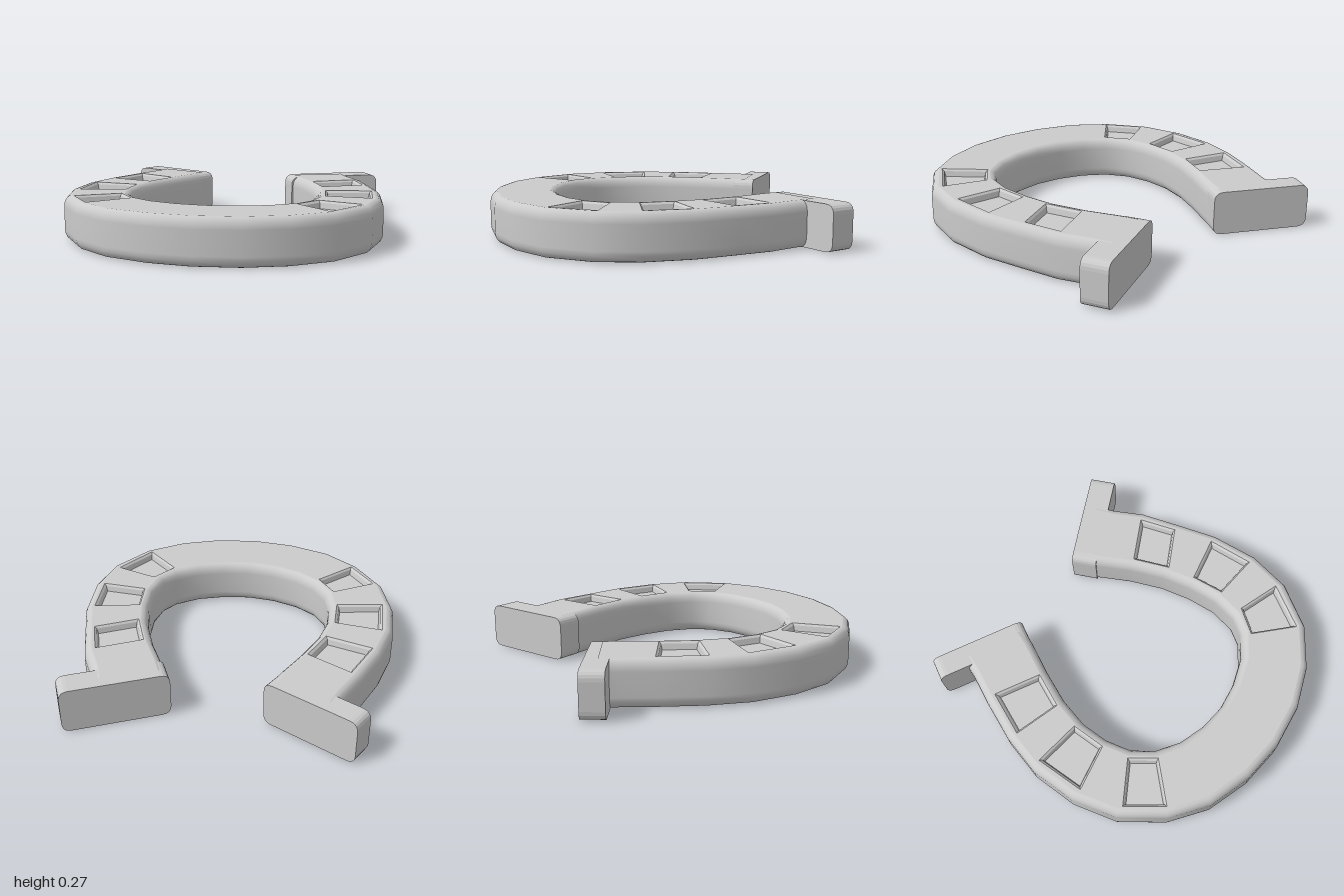
import * as THREE from 'three';

const TOP = 0.27;
const material = new THREE.MeshStandardMaterial({ color: 0xcccccc });

// Stations along the shoe: [inner x, inner z, outer x, outer z]
const stations = [
  [-0.31, -0.67, -0.68, -0.85], [-0.34, -0.59, -0.715, -0.75],
  [-0.435, -0.4, -0.8, -0.57], [-0.52, -0.2, -0.9, -0.33],
  [-0.565, -0.015, -0.965, -0.08], [-0.565, 0.15, -0.965, 0.2], [-0.53, 0.3, -0.895, 0.47],
  [-0.45, 0.42, -0.725, 0.71], [-0.32, 0.51, -0.515, 0.87], [-0.165, 0.565, -0.255, 0.96],
  [0, 0.585, 0.005, 0.99],
  [0.165, 0.565, 0.275, 0.96], [0.33, 0.51, 0.52, 0.87], [0.46, 0.42, 0.74, 0.715],
  [0.525, 0.32, 0.905, 0.46], [0.555, 0.16, 0.955, 0.2], [0.54, -0.02, 0.93, -0.09],
  [0.5, -0.2, 0.86, -0.33], [0.42, -0.4, 0.79, -0.56],
  [0.32, -0.59, 0.7, -0.73], [0.28, -0.68, 0.66, -0.84],
];

// Pocket corners, clockwise from above: x, z
const pockets = [
  [[-0.74, -0.55], [-0.485, -0.41], [-0.575, -0.205], [-0.85, -0.29]],
  [[-0.9, -0.085], [-0.615, -0.045], [-0.615, 0.165], [-0.895, 0.215]],
  [[-0.83, 0.47], [-0.585, 0.325], [-0.48, 0.47], [-0.68, 0.675]],
  [[0.475, -0.41], [0.73, -0.54], [0.8, -0.32], [0.56, -0.195]],
  [[0.595, -0.03], [0.87, -0.085], [0.89, 0.195], [0.615, 0.17]],
  [[0.595, 0.33], [0.85, 0.42], [0.695, 0.675], [0.49, 0.475]],
];

const INSET = 0.045, ROUND = 0.065;

// Point a distance d in from the inner (side 0) or outer (side 1) edge
function edgePoint([ix, iz, ox, oz], side, d) {
  const len = Math.hypot(ox - ix, oz - iz);
  const t = side ? 1 - d / len : d / len;
  return [ix + (ox - ix) * t, iz + (oz - iz) * t];
}

// Rounded profile from the inner top edge, under the shoe, to the outer top edge
function makeProfile() {
  const half = [];
  const n = 4;
  for (let k = 0; k <= n; k++) {
    const a = (k / n) * Math.PI / 2;
    half.push([INSET * (1 - Math.sin(a)), TOP - ROUND * (1 - Math.cos(a))]);
  }
  for (let k = 0; k <= n; k++) {
    const a = (k / n) * Math.PI / 2;
    half.push([INSET * (1 - Math.cos(a)), ROUND * (1 - Math.sin(a))]);
  }
  return [...half.map(p => [0, ...p]), ...half.slice().reverse().map(p => [1, ...p])];
}

function bodyGeometry() {
  const profile = makeProfile(), n = profile.length;
  const positions = [], index = [];
  stations.forEach((s, i) => {
    for (const [side, d, y] of profile) {
      const [x, z] = edgePoint(s, side, d);
      positions.push(x, y, z);
    }
    if (i === stations.length - 1) return;
    for (let j = 0; j < n - 1; j++) {
      const a = i * n + j, b = a + n;
      index.push(a, b, a + 1, b, b + 1, a + 1);
    }
  });
  const g = new THREE.BufferGeometry();
  g.setAttribute('position', new THREE.Float32BufferAttribute(positions, 3));
  g.setIndex(index);
  g.computeVertexNormals();
  return g;
}

// Flat top with an opening for each pocket
function topGeometry() {
  const flat = ([x, z]) => new THREE.Vector2(x, -z);
  const inner = stations.map(s => flat(edgePoint(s, 0, INSET)));
  const outer = stations.map(s => flat(edgePoint(s, 1, INSET)));
  const shape = new THREE.Shape([...inner, ...outer.reverse()]);
  for (const p of pockets) shape.holes.push(new THREE.Path(p.map(flat)));
  return new THREE.ShapeGeometry(shape).rotateX(-Math.PI / 2).translate(0, TOP, 0);
}

// Recess: narrow sloped lip, steep wall, flat floor
function pocketGeometry(corners) {
  const cx = corners.reduce((s, p) => s + p[0], 0) / 4;
  const cz = corners.reduce((s, p) => s + p[1], 0) / 4;
  const rings = [[1, TOP], [0.91, TOP - 0.012], [0.85, TOP - 0.045]].map(([k, y]) =>
    corners.map(([x, z]) => [cx + (x - cx) * k, y, cz + (z - cz) * k]));
  const pos = [];
  const tri = (...pts) => pts.forEach(p => pos.push(...p));
  for (let r = 0; r < 2; r++) {
    for (let i = 0; i < 4; i++) {
      const j = (i + 1) % 4, o = rings[r], q = rings[r + 1];
      tri(o[i], q[i], o[j]);
      tri(o[j], q[i], q[j]);
    }
  }
  const f = rings[2];
  tri(f[0], f[2], f[1]);
  tri(f[0], f[3], f[2]);
  const g = new THREE.BufferGeometry();
  g.setAttribute('position', new THREE.Float32BufferAttribute(pos, 3));
  g.computeVertexNormals();
  return g;
}

// End plate: rounded rectangle between two plan points, thickened toward the shoe
function endPlate(name, [x0, z0], [x1, z1], thickness) {
  const L = Math.hypot(x1 - x0, z1 - z0), h = TOP - 0.002, b = 0.002, r = 0.055;
  const s = new THREE.Shape();
  s.moveTo(r, b);
  s.lineTo(L - r, b);
  s.quadraticCurveTo(L, b, L, b + r);
  s.lineTo(L, h - r);
  s.quadraticCurveTo(L, h, L - r, h);
  s.lineTo(r, h);
  s.quadraticCurveTo(0, h, 0, h - r);
  s.lineTo(0, b + r);
  s.quadraticCurveTo(0, b, r, b);
  const g = new THREE.ExtrudeGeometry(s, { depth: thickness, bevelEnabled: false, curveSegments: 5 });
  const mesh = new THREE.Mesh(g, material);
  mesh.name = name;
  mesh.position.set(x0, 0, z0);
  mesh.rotation.y = -Math.atan2(z1 - z0, x1 - x0);
  return mesh;
}

export function createModel() {
  const model = new THREE.Group();
  model.name = 'horseshoe';
  const add = (name, geometry) => {
    const mesh = new THREE.Mesh(geometry, material);
    mesh.name = name;
    model.add(mesh);
  };
  add('shoeBody', bodyGeometry());
  add('shoeTop', topGeometry());
  pockets.forEach((p, i) => add(`nailPocket${i + 1}`, pocketGeometry(p)));
  model.add(endPlate('rightEndPlate', [-0.795, -1], [-0.275, -0.72], 0.135));
  model.add(endPlate('leftEndPlate', [0.245, -0.73], [0.8, -0.99], 0.155));
  return model;
}
